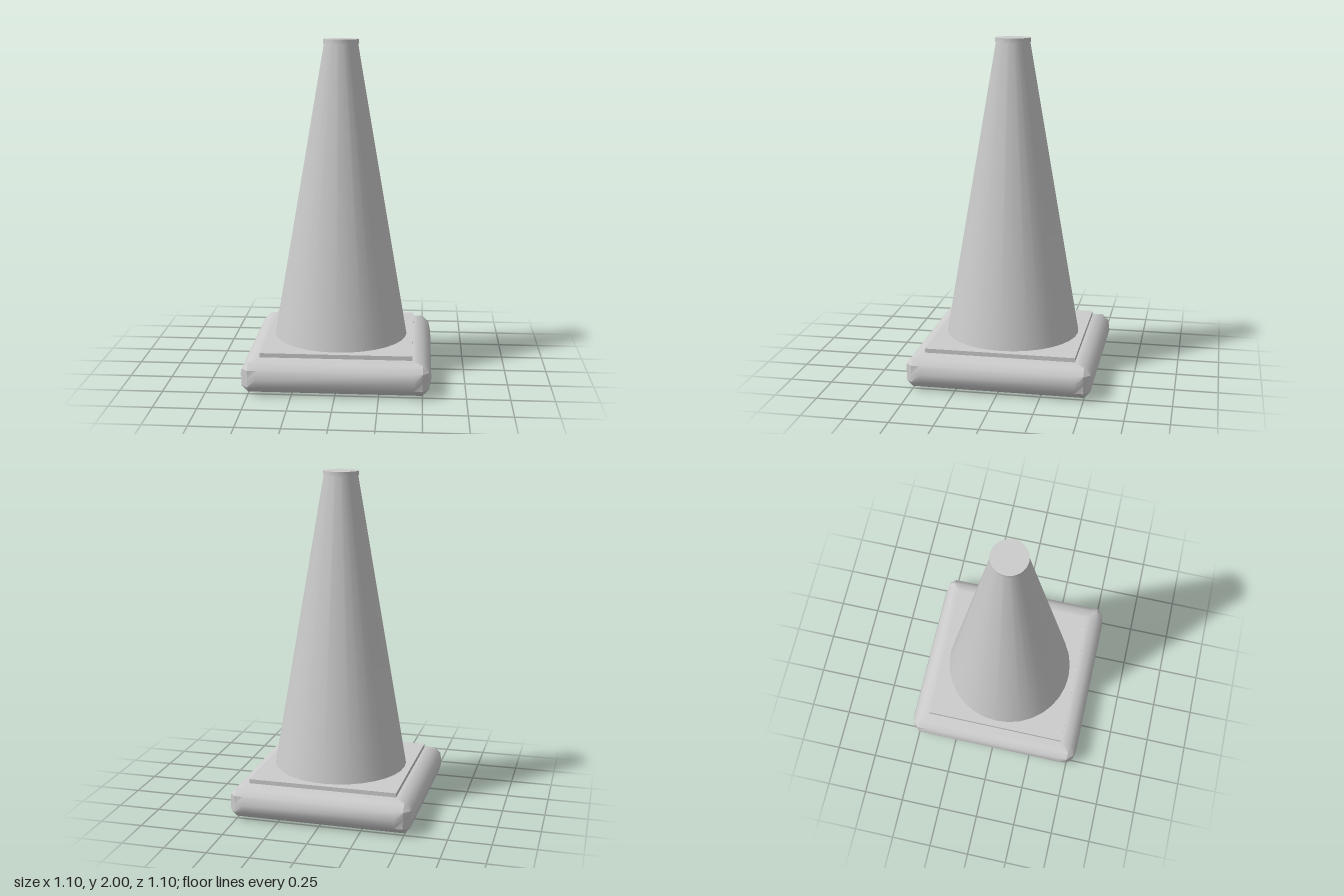
import * as THREE from 'three';
import { toCreasedNormals } from 'three/addons/utils/BufferGeometryUtils.js';

const material = new THREE.MeshStandardMaterial({ color: 0xcccccc, side: THREE.DoubleSide });

const CENTRE = 0.45; // centre of the rounded edges
const RADIUS = 0.1;  // radius of the rounded edges
const STEPS = 3;     // facets per quarter round

// One horizontal loop: a square of half-width w, trimmed by the rounded upright corners
function squareLoop(w, y) {
  const loop = [];
  for (let corner = 0; corner < 4; corner++) {
    const turn = corner * Math.PI / 2;
    const c = Math.round(Math.cos(turn)), s = Math.round(Math.sin(turn));
    for (let i = 0; i <= STEPS; i++) {
      const a = (i / STEPS) * Math.PI / 2;
      const x = Math.min(w, CENTRE + RADIUS * Math.cos(a));
      const z = Math.min(w, CENTRE + RADIUS * Math.sin(a));
      loop.push([x * c - z * s, y, x * s + z * c]);
    }
  }
  return loop;
}

// Skin a stack of [halfWidth, height] rows, listed from the bottom up
function squareShell(rows) {
  const loops = rows.map(([w, y]) => squareLoop(w, y));
  const n = loops[0].length;
  const index = [];
  for (let r = 0; r < loops.length - 1; r++) {
    for (let j = 0; j < n; j++) {
      const a = r * n + j, b = r * n + (j + 1) % n;
      index.push(a, a + n, b, b, a + n, b + n);
    }
  }
  const geometry = new THREE.BufferGeometry();
  geometry.setAttribute('position', new THREE.Float32BufferAttribute(loops.flat(2), 3));
  geometry.setIndex(index);
  return toCreasedNormals(geometry, 0.6);
}

function addPart(group, name, geometry) {
  const mesh = new THREE.Mesh(geometry, material);
  mesh.name = name;
  group.add(mesh);
}

export function createModel() {
  const group = new THREE.Group();
  group.name = 'trafficCone';

  // Hollow base with half-round sides, open underneath
  const baseRows = [];
  for (let i = -STEPS; i <= STEPS; i++) {
    const a = (i / STEPS) * Math.PI / 2;
    baseRows.push([CENTRE + RADIUS * Math.cos(a), RADIUS + RADIUS * Math.sin(a)]);
  }
  baseRows.push([0.44, 0.2]);
  addPart(group, 'base', squareShell(baseRows));

  // Raised square plate, also open underneath
  addPart(group, 'basePlate', squareShell([[0.44, 0.2], [0.44, 0.225], [0, 0.225]]));

  // Tapered body with a thin lip and flat cap at the top
  const profile = [[0.4, 0.225], [0.1, 1.975], [0.104, 1.975], [0.104, 2], [0, 2]]
    .map(([x, y]) => new THREE.Vector2(x, y));
  addPart(group, 'coneBody', toCreasedNormals(new THREE.LatheGeometry(profile, 32), 0.6));

  return group;
}
